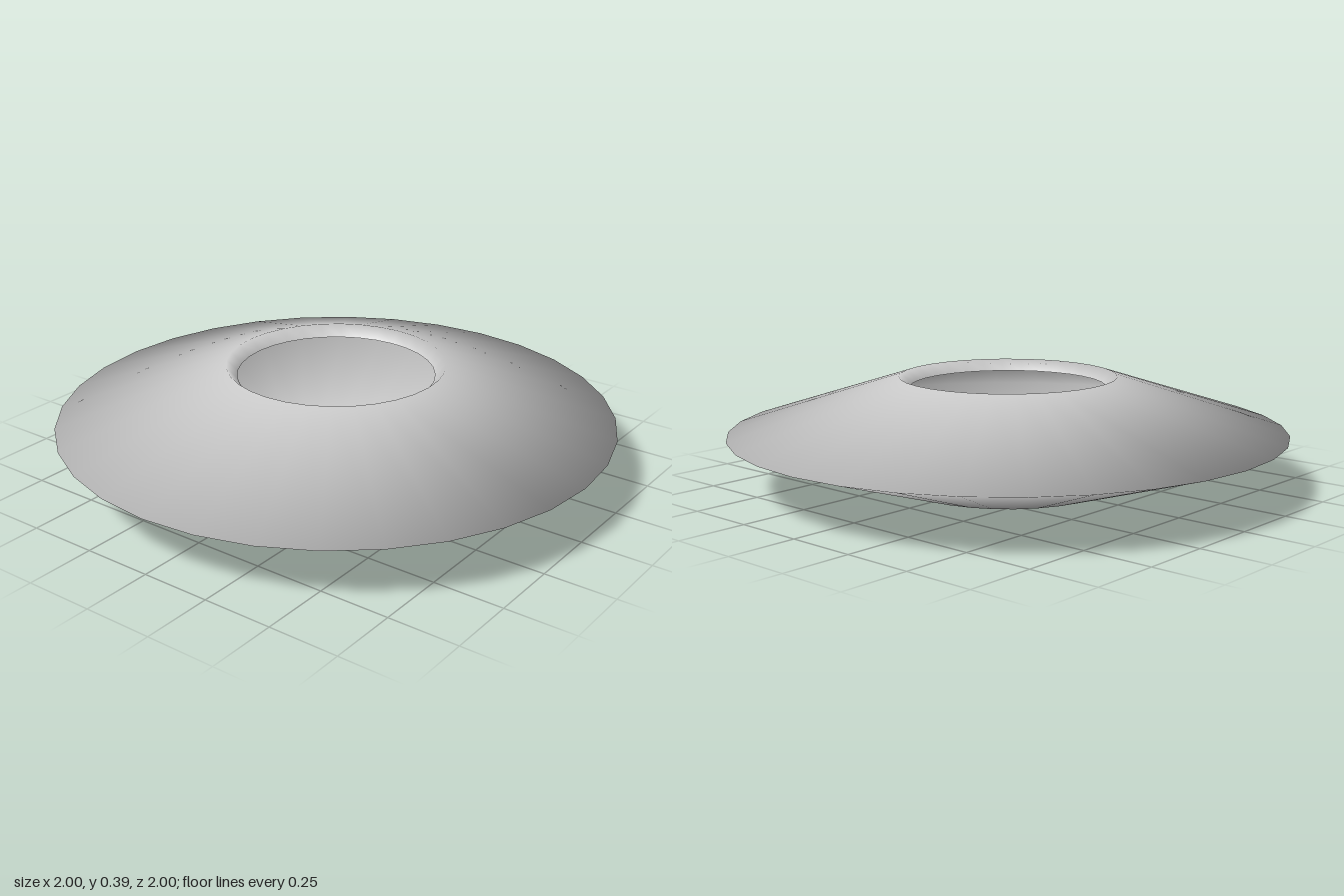
import * as THREE from 'three';

export function createModel() {
  const group = new THREE.Group();
  group.name = 'discShell';

  // Half section [radius, height], from the lower hole round the rim to the upper opening
  const profile = [
    [0.15, 0.05],  // edge of the small lower hole
    [0.39, 0],     // base ring
    [1, 0.197],    // sharp outer rim
    [0.39, 0.393], // upper lip
    [0.352, 0.353],// edge of the wide upper opening
  ].map(([r, y]) => new THREE.Vector2(r, y));

  // Open thin shell with smooth normals
  const shell = new THREE.Mesh(
    new THREE.LatheGeometry(profile, 32),
    new THREE.MeshStandardMaterial({ color: 0xcccccc, side: THREE.DoubleSide })
  );
  shell.name = 'shell';
  group.add(shell);
  return group;
}
